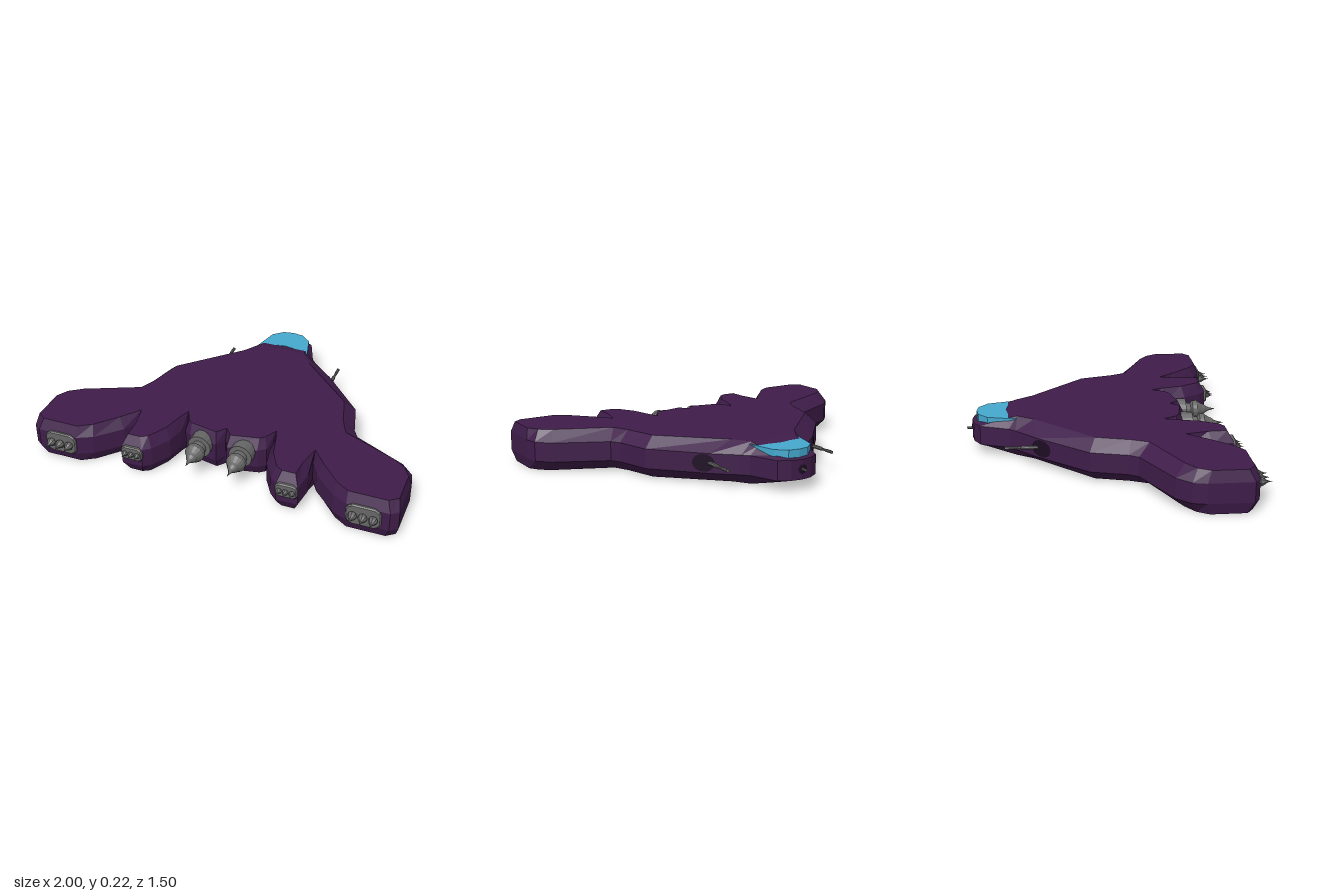
import * as THREE from 'three';

const mat = (color, side = THREE.FrontSide) =>
  new THREE.MeshStandardMaterial({ color, flatShading: true, side });
const hullMat = mat(0x3f1d4a);
const darkMat = mat(0x1e0d24, THREE.DoubleSide);
const glassMat = mat(0x45a9cf);
const metalMat = mat(0x666666);

// Half outline, nose to tail: widest x, z, then the inset deck edge x, z
const HALF = [
  [0, -0.725, 0, -0.70], [0.06, -0.715, 0.05, -0.69], [0.12, -0.68, 0.10, -0.645],
  [0.18, -0.525, 0.13, -0.53], [0.21, -0.49, 0.14, -0.48], [0.33, -0.38, 0.20, -0.39],
  [0.56, -0.12, 0.50, -0.09], [0.61, 0.07, 0.55, 0.09], [0.64, 0.12, 0.59, 0.18],
  [0.92, 0.26, 0.88, 0.31], [0.985, 0.33, 0.95, 0.36], [1, 0.40, 0.985, 0.42],
  [1, 0.63, 0.985, 0.60], [0.96, 0.66, 0.94, 0.635], [0.74, 0.66, 0.74, 0.635],
  [0.66, 0.62, 0.67, 0.59], [0.54, 0.50, 0.57, 0.48], [0.49, 0.41, 0.49, 0.38],
  [0.50, 0.52, 0.465, 0.50], [0.485, 0.635, 0.46, 0.60], [0.37, 0.635, 0.39, 0.60],
  [0.33, 0.60, 0.355, 0.58], [0.27, 0.50, 0.30, 0.48], [0.25, 0.40, 0.27, 0.36],
  [0.245, 0.33, 0.25, 0.30], [0.23, 0.39, 0.215, 0.37], [0.19, 0.42, 0.19, 0.39],
  [0.03, 0.45, 0.04, 0.42], [0, 0.39, 0, 0.37],
];
const NOSE_SPLIT = 4; // outline point where the deck begins to slope to the nose

function hullGeometry() {
  const ring = [...HALF,
    ...HALF.slice(1, -1).reverse().map(([x, z, tx, tz]) => [-x, z, -tx, tz])];
  const n = ring.length;
  const drop = z => Math.max(0, -0.48 - z);
  const layers = [
    ring.map(p => [p[2], 0.26 * drop(p[3]), p[3]]),
    ring.map(p => [p[0], 0.06, p[1]]),
    ring.map(p => [p[0], 0.165, p[1]]),
    ring.map(p => [p[2], 0.225 - 0.25 * drop(p[3]), p[3]]),
  ];
  const pos = [];
  const tri = (a, b, c) => pos.push(...a, ...b, ...c);
  // Lower bevel, side wall and upper bevel
  for (let l = 0; l < 3; l++) {
    for (let i = 0; i < n; i++) {
      const j = (i + 1) % n, lo = layers[l], hi = layers[l + 1];
      tri(lo[i], hi[i], lo[j]);
      tri(lo[j], hi[i], hi[j]);
    }
  }
  // Deck and belly, each split at the start of the nose slope
  const rear = ring.map((_, i) => i).slice(NOSE_SPLIT, n - NOSE_SPLIT + 1);
  const nose = ring.map((_, i) => i).filter(i => i <= NOSE_SPLIT || i >= n - NOSE_SPLIT);
  for (const [layer, up] of [[layers[0], false], [layers[3], true]]) {
    for (const part of [rear, nose]) {
      const pts = part.map(i => layer[i]);
      const flat = pts.map(p => new THREE.Vector2(p[0], p[2]));
      for (const f of THREE.ShapeUtils.triangulateShape(flat, [])) {
        const [a, b, c] = f.map(i => pts[i]);
        const facesUp = (b[2] - a[2]) * (c[0] - a[0]) - (b[0] - a[0]) * (c[2] - a[2]) > 0;
        if (facesUp === up) tri(a, b, c); else tri(a, c, b);
      }
    }
  }
  const g = new THREE.BufferGeometry();
  g.setAttribute('position', new THREE.Float32BufferAttribute(pos, 3));
  g.computeVertexNormals();
  return g;
}

function add(parent, name, geometry, material, x = 0, y = 0, z = 0) {
  const m = new THREE.Mesh(geometry, material);
  m.name = name;
  m.position.set(x, y, z);
  parent.add(m);
  return m;
}

// Turned part along z from [radius, z] pairs
function turned(profile, sides, dir = 1) {
  const g = new THREE.LatheGeometry(profile.map(p => new THREE.Vector2(...p)), sides);
  return g.rotateX(dir * Math.PI / 2);
}

// Oval plate with a row of spiked nozzles
function thruster(name, width, height, length) {
  const group = new THREE.Group();
  group.name = name;
  const w = width / 2, h = height / 2, c = h * 0.55;
  const s = new THREE.Shape([
    [-w, -h + c], [-w + c * 0.35, -h + c * 0.35], [-w + c, -h], [w - c, -h],
    [w - c * 0.35, -h + c * 0.35], [w, -h + c], [w, h - c], [w - c * 0.35, h - c * 0.35],
    [w - c, h], [-w + c, h], [-w + c * 0.35, h - c * 0.35], [-w, h - c],
  ].map(p => new THREE.Vector2(...p)));
  add(group, 'thrusterPlate', new THREE.ExtrudeGeometry(s, {
    depth: 0.02, bevelThickness: 0.006, bevelSize: 0.006, bevelOffset: -0.006, bevelSegments: 1,
  }), metalMat, 0, 0, -0.015);
  const r = width * 0.135;
  const spike = turned([[r * 0.8, 0], [r, length * 0.2], [r * 0.85, length * 0.35],
    [r * 0.35, length * 0.6], [r * 0.15, length * 0.75], [0, length]], 8);
  for (const i of [-1, 0, 1]) add(group, 'thrusterSpike', spike, metalMat, i * width * 0.29, 0, 0.005);
  return group;
}

export function createModel() {
  const model = new THREE.Group();
  add(model, 'hull', hullGeometry(), hullMat);

  // Crescent canopy over the nose
  const side = [[0.06, -0.53], [0.12, -0.49], [0.178, -0.395], [0.115, -0.64], [0.06, -0.69]];
  const outline = [[0, -0.54], ...side, [0, -0.70],
    ...side.slice().reverse().map(([x, z]) => [-x, z])];
  const canopy = new THREE.ExtrudeGeometry(
    new THREE.Shape(outline.map(([x, z]) => new THREE.Vector2(x, -z))),
    { depth: 0.063, bevelEnabled: false }).rotateX(-Math.PI / 2);
  add(model, 'canopy', canopy, glassMat, 0, 0.15, 0);

  const engine = turned([[0, 0.34], [0.064, 0.34], [0.064, 0.475], [0.04, 0.478], [0.035, 0.505],
    [0.052, 0.515], [0.052, 0.54], [0.032, 0.57], [0.026, 0.585], [0.014, 0.6],
    [0.008, 0.615], [0, 0.65]], 16);
  const gun = turned([[0, 0], [0.011, 0], [0.011, 0.11], [0.007, 0.115], [0.007, 0.15],
    [0.009, 0.155], [0.009, 0.2], [0, 0.2]], 8, -1);

  for (const s of [1, -1]) {
    add(model, 'mainEngine', engine, metalMat, s * 0.115, 0.145, 0);

    const outer = thruster('outerThruster', 0.18, 0.12, 0.075);
    outer.position.set(s * 0.83, 0.115, 0.66);
    const inner = thruster('innerThruster', 0.12, 0.08, 0.05);
    inner.position.set(s * 0.425, 0.135, 0.637);
    model.add(outer, inner);

    // Side gun in a dark port on the slanted wall
    add(model, 'sideGun', gun, metalMat, s * 0.33, 0.115, -0.35);
    const port = add(model, 'gunPort', new THREE.CircleGeometry(0.047, 20), darkMat,
      s * 0.355, 0.115, -0.358);
    port.rotation.y = s * Math.atan2(0.26, -0.23);
    port.scale.x = 1.3;
  }

  // Short gun in the nose
  const noseGun = add(model, 'noseGun', gun, metalMat, 0, 0.115, -0.555);
  noseGun.scale.set(0.9, 0.9, 1);
  const nosePort = add(model, 'nosePort', new THREE.CircleGeometry(0.025, 16), darkMat, 0, 0.115, -0.727);
  nosePort.rotation.y = Math.PI;
  return model;
}
